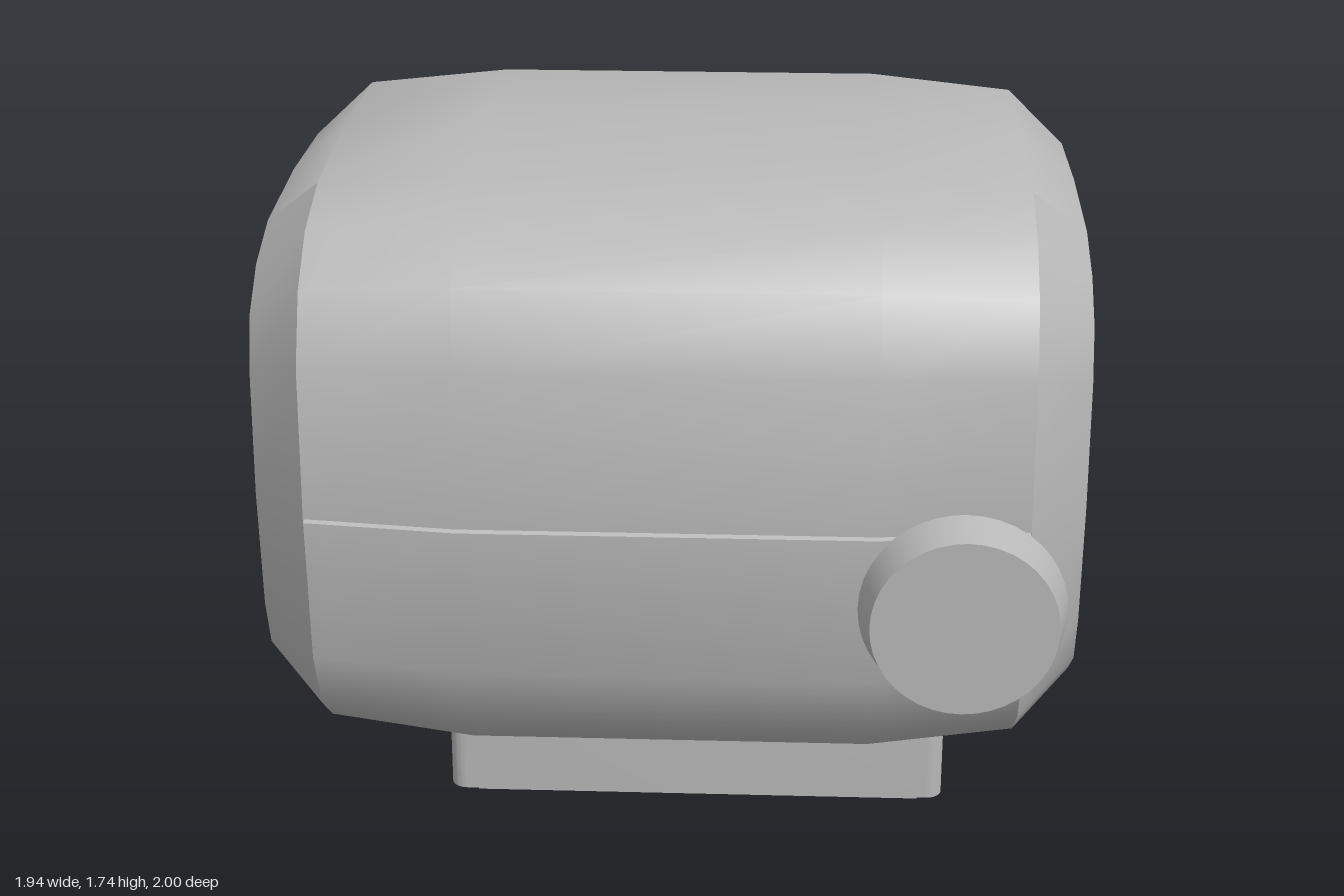
import * as THREE from 'three';
import { toCreasedNormals } from 'three/addons/utils/BufferGeometryUtils.js';

const CY = 1.005, CZ = 0.022; // centre line of the body

// Full cross-section (z, y) mirrored from a quarter; the last point is the seam groove.
function section(quarter, groove) {
  const side = quarter[quarter.length - 1][0];
  const q = [...quarter.slice(0, -1), [side, 0.005], [side - groove, 0]];
  const half = [...q, ...q.slice(0, -1).reverse().map(([z, y]) => [z, -y])];
  return [...half, ...half.slice(1, -1).reverse().map(([z, y]) => [-z, y])];
}

// Skin between cross-sections along x, closed with flat ends.
function bodyGeometry(rings) {
  const pos = [];
  const tri = (a, b, c) => {
    const area = b.clone().sub(a).cross(c.clone().sub(a)).length();
    if (area > 1e-9) for (const p of [a, b, c]) pos.push(p.x, p.y, p.z);
  };
  const pts = rings.map(([x, s]) => s.map(([z, y]) => new THREE.Vector3(x, CY + y, CZ + z)));
  const n = pts[0].length;
  for (let j = 0; j < n; j++) {
    const k = (j + 1) % n;
    for (let i = 0; i < pts.length - 1; i++) {
      const [a, b, c, d] = [pts[i][j], pts[i][k], pts[i + 1][k], pts[i + 1][j]];
      tri(a, b, d);
      tri(b, c, d);
    }
    const first = pts[0], last = pts[pts.length - 1];
    tri(new THREE.Vector3(first[0].x, CY, CZ), first[k], first[j]);
    tri(new THREE.Vector3(last[0].x, CY, CZ), last[j], last[k]);
  }
  const g = new THREE.BufferGeometry();
  g.setAttribute('position', new THREE.Float32BufferAttribute(pos, 3));
  return toCreasedNormals(g, 0.66);
}

export function createModel() {
  const group = new THREE.Group();
  const grey = new THREE.MeshStandardMaterial({ color: 0xb8b8b8 });
  grey.name = 'grey';
  const add = (name, geometry, x = 0, y = 0, z = 0) => {
    const mesh = new THREE.Mesh(geometry, grey);
    mesh.name = name;
    mesh.position.set(x, y, z);
    group.add(mesh);
    return mesh;
  };

  // Barrel-like body with bevelled ends and a seam front and back
  const middle = [[0, 0.735], [0.45, 0.713], [0.66, 0.655], [0.785, 0.55], [0.86, 0.38], [0.883, 0]];
  const shoulder = [[0, 0.7], [0.43, 0.68], [0.62, 0.625], [0.745, 0.525], [0.82, 0.365], [0.843, 0]];
  const end = [[0, 0.575], [0.355, 0.56], [0.52, 0.508], [0.625, 0.425], [0.67, 0.3], [0.69, 0]];
  const half = [
    [0.48, section(middle, 0.012)],
    [0.832, section(shoulder, 0.012)],
    [0.832, section(shoulder, 0)],
    [0.97, section(end, 0)],
  ];
  const mirrored = half.map(([x, s]) => [-x, s]).reverse();
  add('body', bodyGeometry([...mirrored, ...half]));

  // Tapered round caps on the front and back
  const frontKnob = new THREE.CylinderGeometry(0.215, 0.24, 0.1, 40).rotateX(Math.PI / 2);
  add('frontKnob', frontKnob, 0.682, 0.828, 0.95);
  const backCap = new THREE.CylinderGeometry(0.44, 0.48, 0.14, 48).rotateX(-Math.PI / 2);
  add('backCap', backCap, 0.342, 0.91, -0.93);

  // Mounting block with rounded upright edges
  const w = 0.625, d = 0.438, r = 0.04;
  const outline = new THREE.Shape();
  outline.absarc(w - r, d - r, r, 0, Math.PI / 2);
  outline.absarc(-w + r, d - r, r, Math.PI / 2, Math.PI);
  outline.absarc(-w + r, -d + r, r, Math.PI, Math.PI * 1.5);
  outline.absarc(w - r, -d + r, r, Math.PI * 1.5, Math.PI * 2);
  const block = new THREE.ExtrudeGeometry(outline, { depth: 0.235, bevelEnabled: false, curveSegments: 6 });
  add('mountingBlock', toCreasedNormals(block.rotateX(-Math.PI / 2), 0.6), 0.055, 0.075, 0.027);

  // Two rails and a hexagonal pin underneath
  for (const z of [0.357, -0.308]) {
    add('rail', new THREE.BoxGeometry(1.135, 0.07, 0.024), 0.055, 0.05, z);
  }
  const pin = new THREE.CylinderGeometry(0.061, 0.061, 0.08, 6);
  add('pin', toCreasedNormals(pin.toNonIndexed(), 0.5), -0.345, 0.04, 0.025);

  return group;
}
